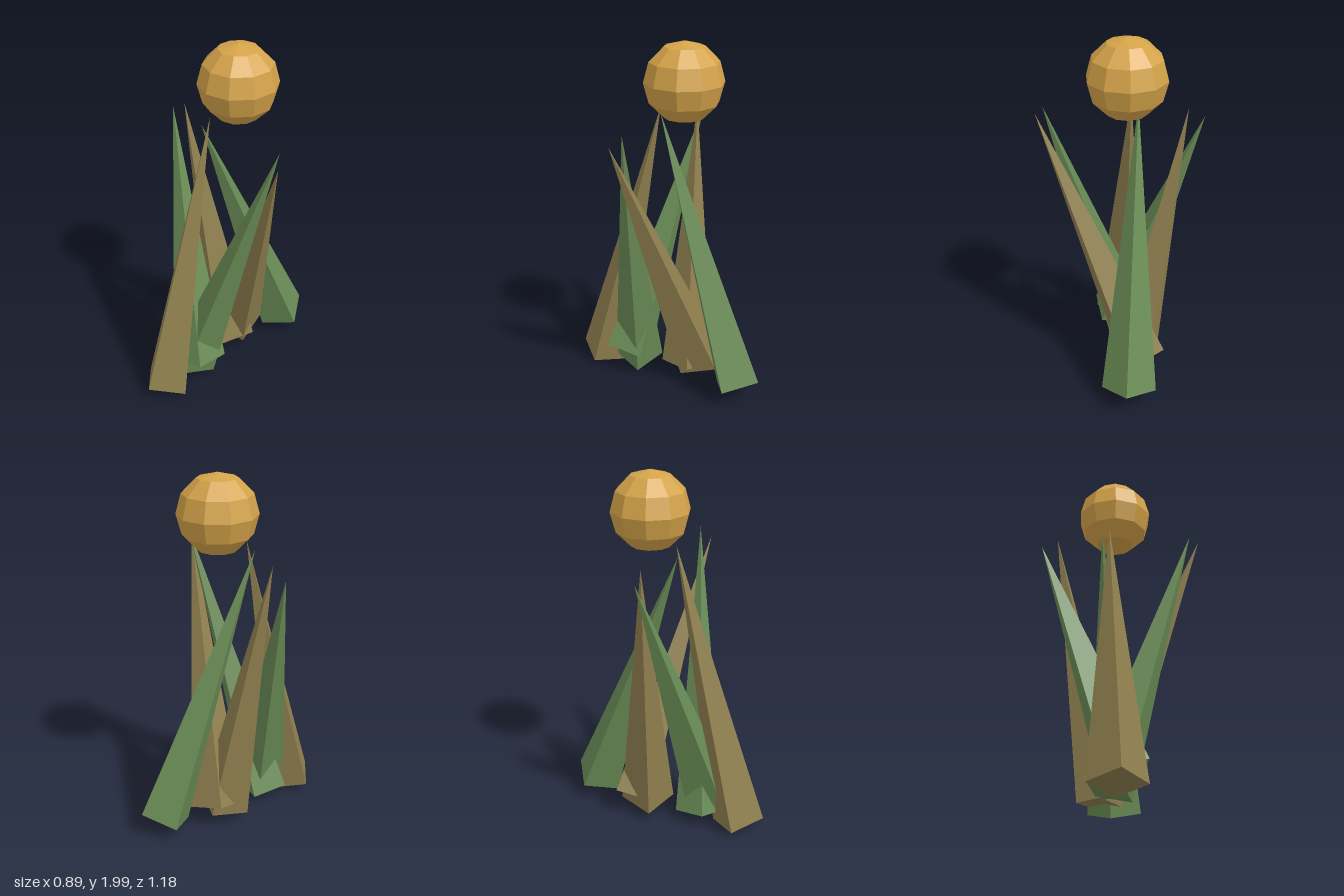
import * as THREE from 'three';

const flat = (name, color) => {
  const m = new THREE.MeshStandardMaterial({ color, flatShading: true });
  m.name = name;
  return m;
};

// Four-sided spike from the centre of its base to its tip;
// toCorner points from the base centre towards one base corner.
function spike(name, material, tip, base, toCorner, radius = 0.15) {
  const foot = new THREE.Vector3(...base);
  const up = new THREE.Vector3(...tip).sub(foot);
  const height = up.length();
  up.normalize();
  const side = new THREE.Vector3().crossVectors(up, new THREE.Vector3(...toCorner)).normalize();
  const corner = new THREE.Vector3().crossVectors(side, up);
  const geometry = new THREE.ConeGeometry(radius, height, 4, 1);
  geometry.translate(0, height / 2, 0);
  geometry.applyMatrix4(new THREE.Matrix4().makeBasis(side, up, corner).setPosition(foot));
  const mesh = new THREE.Mesh(geometry, material);
  mesh.name = name;
  return mesh;
}

export function createModel() {
  const model = new THREE.Group();
  model.name = 'spikesAndOrb';
  const brown = flat('brown', 0x90804f);
  const green = flat('green', 0x6a8c56);
  const gold = flat('gold', 0xd4a349);

  // Leaning spikes: name, material, tip, base centre, corner direction, radius
  const spikes = [
    ['frontSpike', brown, [-0.065, 1.63, 0.07], [-0.03, 0.04, 0.445], [0.013, 0.035, 0.145]],
    ['backSpike', green, [-0.105, 1.58, 0.095], [-0.018, 0.102, -0.455], [0.023, 0.053, -0.14]],
    ['leftGreenSpike', green, [0.4, 1.605, 0.02], [-0.065, 0.062, 0.225], [0.12, -0.045, -0.06], 0.14],
    ['rightGreenSpike', green, [-0.45, 1.53, 0.015], [0.015, 0.14, 0.24], [0.12, 0.055, 0.09]],
    ['leftBrownSpike', brown, [0.443, 1.545, 0.07], [-0.113, 0.12, -0.165], [-0.122, 0.06, -0.06]],
    ['rightBrownSpike', brown, [-0.36, 1.58, 0.005], [-0.09, 0.09, -0.095], [-0.14, -0.025, 0.07]],
  ];
  for (const s of spikes) model.add(spike(...s));

  // Faceted orb floating above the tips
  const orb = new THREE.Mesh(new THREE.SphereGeometry(0.2125, 10, 6), gold);
  orb.name = 'orb';
  orb.rotation.y = Math.PI / 2;
  orb.position.set(-0.03, 1.7875, -0.09);
  model.add(orb);

  return model;
}
